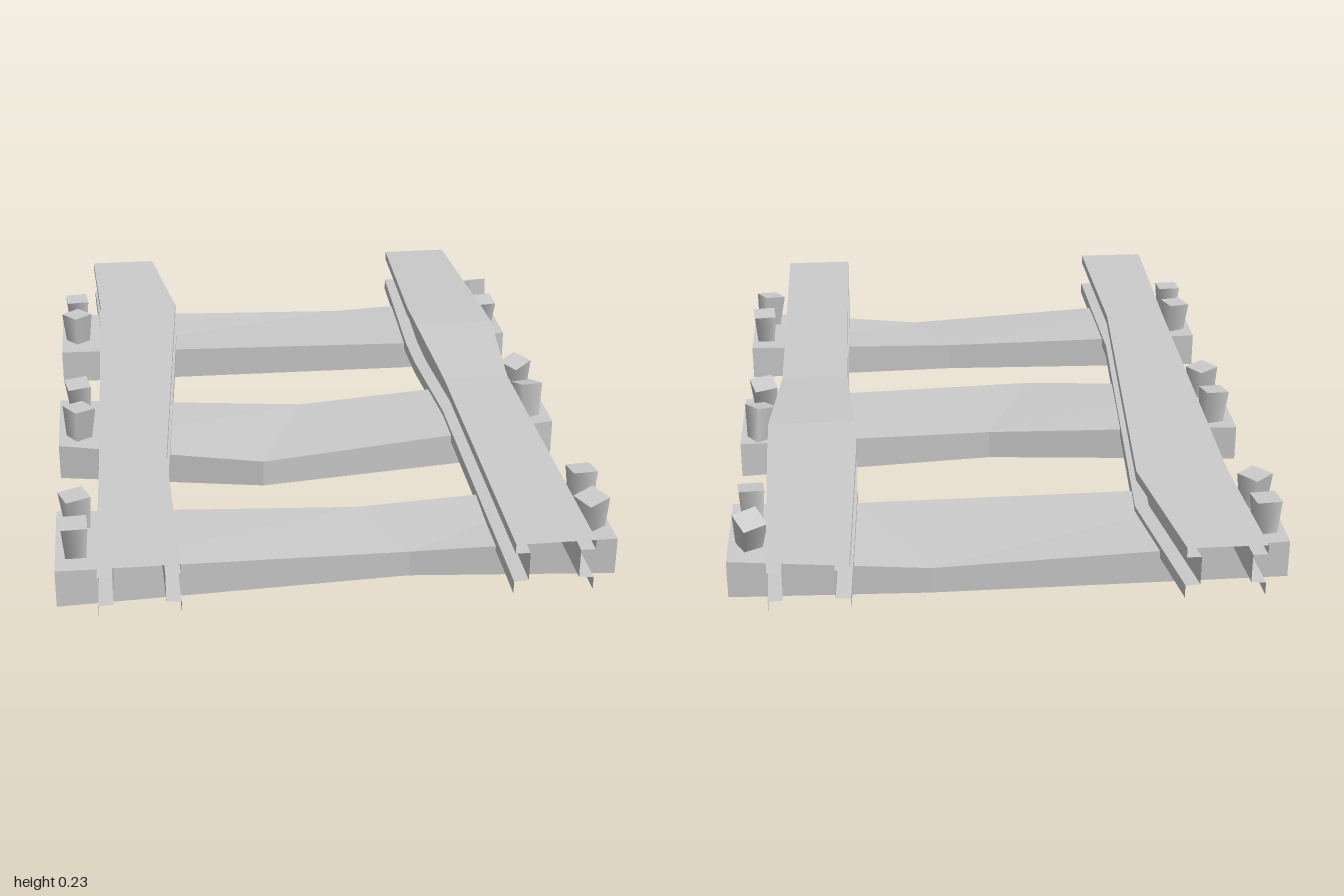
import * as THREE from 'three';

const flat = new THREE.MeshStandardMaterial({ color: 0xcccccc, flatShading: true, side: THREE.DoubleSide });
const smooth = new THREE.MeshStandardMaterial({ color: 0xcccccc, side: THREE.DoubleSide });

// Skin a row of open cross-sections (each a list of [x, y, z]) into one surface
function loft(sections, capped = false) {
  const n = sections[0].length;
  const index = [];
  for (let s = 0; s < sections.length - 1; s++) {
    for (let i = 0; i < n - 1; i++) {
      const a = s * n + i, b = a + n;
      index.push(a, a + 1, b, b, a + 1, b + 1);
    }
  }
  if (capped) {
    const e = (sections.length - 1) * n;
    index.push(0, 2, 1, 0, 3, 2, e, e + 1, e + 2, e, e + 2, e + 3);
  }
  const geometry = new THREE.BufferGeometry();
  geometry.setAttribute('position', new THREE.Float32BufferAttribute(sections.flat(2), 3));
  geometry.setIndex(index);
  geometry.computeVertexNormals();
  return geometry;
}

function addMesh(parent, name, geometry, material) {
  const mesh = new THREE.Mesh(geometry, material);
  mesh.name = name;
  parent.add(mesh);
  return mesh;
}

// Rail: hollow, open profile with head lips, webs and turned-down feet.
// Each station is [z, left edge, right edge, lift of the head]
function railGeometry(stations) {
  const inset = 0.036;
  return loft(stations.map(([z, l, r, lift]) => [
    [l, 0.07, z], [l, 0.103, z], [l + inset, 0.105, z], [l + inset, 0.18 + lift, z],
    [l, 0.18 + lift, z], [l, 0.205 + lift, z],
    [r, 0.205 + lift, z], [r, 0.18 + lift, z],
    [r - inset, 0.18 + lift, z], [r - inset, 0.105, z], [r, 0.103, z], [r, 0.07, z],
  ]));
}

// Sleeper: bent, sagging box without a floor.
// back and front each hold [z at left, kink x, kink z, kink height, z at right]
function sleeperGeometry(back, front) {
  const section = (xb, yb, zb, xf, yf, zf) => [[xb, 0, zb], [xb, yb, zb], [xf, yf, zf], [xf, 0, zf]];
  return loft([
    section(-0.7, 0.1, back[0], -0.7, 0.1, front[0]),
    section(back[1], back[3], back[2], front[1], front[3], front[2]),
    section(0.7, 0.1, back[4], 0.7, 0.1, front[4]),
  ], true);
}

export function createModel() {
  const model = new THREE.Group();
  model.name = 'trackSection';

  // Rails
  addMesh(model, 'rightRail', railGeometry([
    [1, -0.595, -0.4, 0], [0.45, -0.585, -0.41, 0], [-0.6, -0.575, -0.34, 0], [-1, -0.595, -0.4, 0],
  ]), flat);
  addMesh(model, 'leftRail', railGeometry([
    [1, 0.395, 0.59, 0], [0.05, 0.4, 0.585, 0], [-0.3, 0.378, 0.61, 0.025],
    [-0.45, 0.376, 0.607, 0.021], [-1, 0.395, 0.59, 0],
  ]), flat);

  // Sleepers
  const sleepers = [
    ['frontSleeper', [0.525, 0.08, 0.55, 0.08, 0.525], [0.825, 0.18, 0.775, 0.069, 0.822]],
    ['middleSleeper', [-0.15, 0, -0.088, 0.08, -0.155], [0.147, -0.14, 0.255, 0.074, 0.145]],
    ['backSleeper', [-0.805, 0.2, -0.818, 0.07, -0.803], [-0.503, 0.37, -0.493, 0.084, -0.505]],
  ];
  for (const [name, back, front] of sleepers) addMesh(model, name, sleeperGeometry(back, front), flat);

  // Bolts: tapered square pegs [top x, top z, turn, tilt about x, tilt about z]
  const bolts = [
    [0.66, 0.6, 0.1, -0.1, 0], [0.645, 0.755, 0.5, 0.1, 0.1],
    [0.64, 0.06, 0.3, -0.25, 0], [0.64, -0.09, 0.65, 0.15, 0.1],
    [0.645, -0.58, 0.1, 0.15, 0], [0.64, -0.75, 0.5, -0.4, 0.1],
    [-0.65, -0.73, 0.1, 0.05, 0], [-0.65, -0.6, 0.7, 0, 0],
    [-0.645, -0.075, 0.2, 0.1, 0.05], [-0.64, 0.085, 0.6, 0, -0.05],
    [-0.65, 0.6, 0.35, 0, 0.05], [-0.65, 0.745, 0.05, 0.05, 0],
  ];
  const peg = new THREE.CylinderGeometry(0.046, 0.035, 0.1, 4).rotateY(Math.PI / 4).translate(0, -0.05, 0);
  for (const [x, z, turn, tiltX, tiltZ] of bolts) {
    const bolt = addMesh(model, 'bolt', peg, smooth);
    bolt.rotation.set(tiltX, turn, tiltZ);
    bolt.position.set(x, 0.187, z);
  }
  return model;
}
